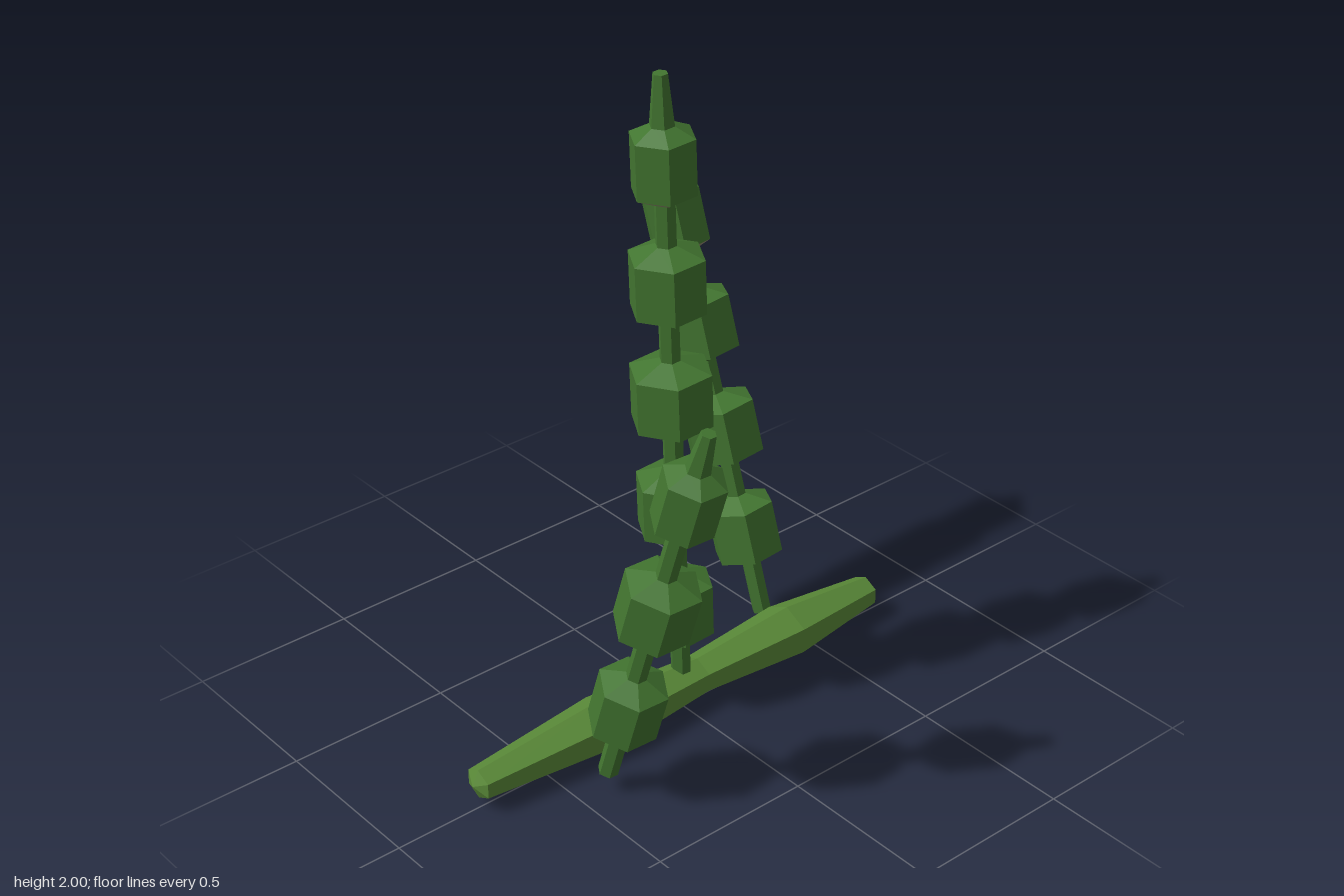
import * as THREE from 'three';

const SIDES = 6;
const green = new THREE.MeshStandardMaterial({ color: 0x427530, flatShading: true });
const rootGreen = new THREE.MeshStandardMaterial({ color: 0x5a8a38, flatShading: true });
const pale = new THREE.MeshStandardMaterial({ color: 0x968c74, flatShading: true });

// Six-sided solid of revolution from [radius, height] pairs, listed bottom to top
function turned(name, profile, material) {
  const points = profile.map(([r, y]) => new THREE.Vector2(r, y));
  const mesh = new THREE.Mesh(new THREE.LatheGeometry(points, SIDES), material);
  mesh.name = name;
  return mesh;
}

// Straight leaning stalk strung with evenly spaced beads
function stalk(name, base, tip, first, spacing, radii) {
  const group = new THREE.Group();
  group.name = name;
  const start = new THREE.Vector3(...base);
  const axis = new THREE.Vector3(...tip).sub(start);
  const length = axis.length();
  const stemR = 0.03, half = 0.08, full = 0.112;
  const last = first + spacing * (radii.length - 1);

  // stem with a tapering tip above the last bead
  group.add(turned('stem', [
    [0, 0], [stemR, 0], [stemR, last], [0.036, last + 0.105], [0.021, length], [0, length],
  ], green));

  // beads: straight hexagonal band with a sloped shoulder at each end
  radii.forEach((r, i) => {
    const topBead = i === radii.length - 1;
    const bead = new THREE.Group();
    bead.name = 'bead' + (i + 1);
    bead.position.y = first + spacing * i;
    bead.add(
      turned('beadUnderside', [[stemR, -full], [r, -half]], topBead ? pale : green),
      turned('beadBody', [[r, -half], [r, half], [stemR, full]], green),
    );
    group.add(bead);
  });

  group.position.copy(start);
  group.quaternion.setFromUnitVectors(new THREE.Vector3(0, 1, 0), axis.normalize());
  return group;
}

export function createModel() {
  const model = new THREE.Group();
  model.name = 'beadedPlant';

  // horizontal root lying along z, with two swellings and blunt pointed ends
  const root = turned('root', [
    [0, -0.755], [0.052, -0.735], [0.09, -0.41], [0.063, -0.06],
    [0.09, 0.29], [0.052, 0.73], [0, 0.75],
  ], rootGreen);
  root.geometry.rotateX(Math.PI / 2).scale(1, 0.89, 1);
  root.position.y = 0.083;
  model.add(root);

  model.add(
    stalk('middleStalk', [0, 0.075, 0], [0, 2, 0.07], 0.285, 0.347,
      [0.104, 0.113, 0.119, 0.109, 0.092]),
    stalk('leftStalk', [0.165, 0.065, 0.407], [0.51, 1.28, 0.345], 0.272, 0.38,
      [0.102, 0.11, 0.09]),
    stalk('rightStalk', [-0.145, 0.065, -0.443], [-0.505, 1.525, -0.343], 0.28, 0.332,
      [0.107, 0.116, 0.111, 0.092]),
  );
  return model;
}
